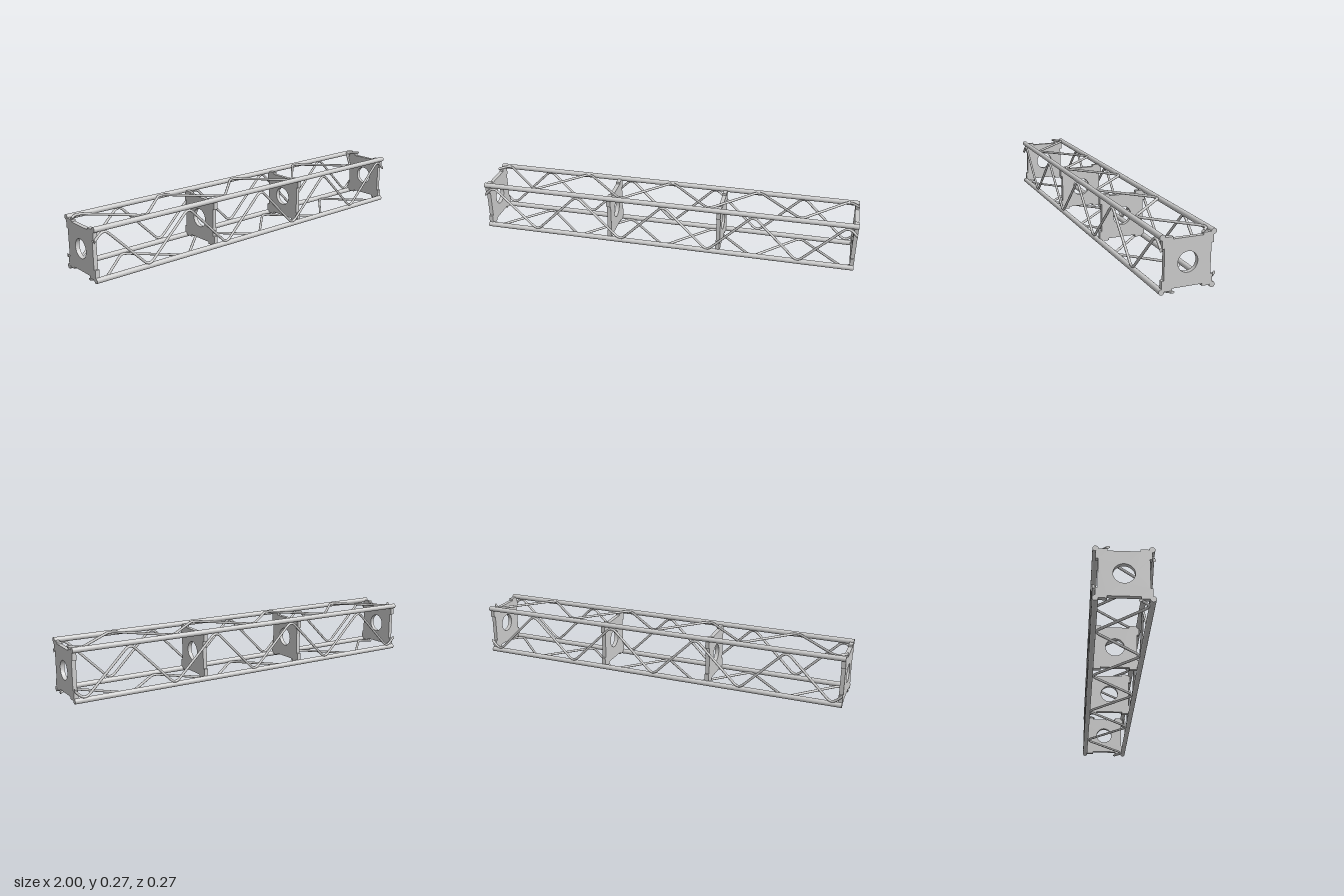
import * as THREE from 'three';

const HALF = 0.1225;      // chord centre offset from the truss axis
const CHORD_R = 0.0135;
const LACE_R = 0.0065;
const LACE_OFFSET = 0.1295;
const AXIS_Y = 0.136;

const metal = new THREE.MeshStandardMaterial({ color: 0xcccccc, metalness: 0.1, roughness: 0.6 });

function add(parent, name, geometry) {
  const mesh = new THREE.Mesh(geometry, metal);
  mesh.name = name;
  parent.add(mesh);
  return mesh;
}

// Zigzag centre line with rounded bends, in the x-y plane
function lacingPath() {
  const step = 0.2375, peak = 0.119, cut = 0.026, slope = 2 * peak / step;
  const at = (x, y) => new THREE.Vector3(x, y, 0);
  const path = new THREE.CurvePath();
  path.arcLengthDivisions = 1000;
  const endY = peak - 0.05 * slope;
  let last = at(-1, endY);
  for (let i = 0; i < 9; i++) {
    const x = -0.95 + i * step, s = i % 2 ? -1 : 1;
    const y = s * (peak - cut * slope);
    const a = at(x - cut, y), b = at(x + cut, y);
    path.add(new THREE.LineCurve3(last, a));
    path.add(new THREE.QuadraticBezierCurve3(a, at(x, s * peak), b));
    last = b;
  }
  path.add(new THREE.LineCurve3(last, at(1, endY)));
  return { path, slope, endY };
}

// Bent rod whose ends are sliced flush with the ends of the truss
function lacingGeometry({ path, slope }) {
  const segments = 240, sides = 10;
  const geo = new THREE.TubeGeometry(path, segments, LACE_R, sides);
  const pos = geo.attributes.position, ring = sides + 1;
  for (const [start, end] of [[0, -1], [segments * ring, 1]]) {
    for (let i = start; i < start + ring; i++) {
      const dx = end - pos.getX(i);
      pos.setX(i, end);
      pos.setY(i, pos.getY(i) - end * dx * slope);
    }
  }
  return geo;
}

// Square plate with a round hole and a slot cut into each edge
function plateGeometry(thickness) {
  const notch = 0.072, inner = 0.112;
  const shape = new THREE.Shape();
  const side = [[-HALF, -HALF], [-notch, -HALF], [-notch, -inner], [notch, -inner], [notch, -HALF]];
  const points = [];
  for (let k = 0; k < 4; k++) {
    for (const [u, v] of side) {
      points.push(new THREE.Vector2(u, v).rotateAround(new THREE.Vector2(), k * Math.PI / 2));
    }
  }
  shape.setFromPoints(points);
  shape.holes.push(new THREE.Path().absarc(0, 0, 0.048, 0, Math.PI * 2, true));
  const geo = new THREE.ExtrudeGeometry(shape, { depth: thickness, bevelEnabled: false, curveSegments: 32 });
  return geo.translate(0, 0, -thickness / 2).rotateY(Math.PI / 2);
}

export function createModel() {
  const truss = new THREE.Group();
  truss.name = 'boxTruss';
  const body = new THREE.Group();
  body.name = 'trussBody';
  body.position.y = AXIS_Y;
  truss.add(body);

  const lace = lacingPath();
  const laceGeo = lacingGeometry(lace);
  const chordGeo = new THREE.CylinderGeometry(CHORD_R, CHORD_R, 2, 24).rotateZ(Math.PI / 2);
  const capGeo = new THREE.CircleGeometry(LACE_R, 12).rotateY(Math.PI / 2);

  // Four identical sides turned about the long axis: one chord and one lacing each
  for (let k = 0; k < 4; k++) {
    const face = new THREE.Group();
    face.name = ['front', 'top', 'back', 'bottom'][k] + 'Side';
    face.rotation.x = -k * Math.PI / 2;
    body.add(face);
    add(face, 'chord', chordGeo).position.set(0, HALF, HALF);
    add(face, 'lacing', laceGeo).position.z = LACE_OFFSET;
    for (const s of [-1, 1]) {
      const cap = add(face, 'lacingEnd', capGeo);
      cap.position.set(s, lace.endY, LACE_OFFSET);
      cap.rotation.y = s > 0 ? 0 : Math.PI;
      cap.scale.y = Math.SQRT2;
    }
  }

  // End plates and inner diaphragms
  const plateGeo = plateGeometry(0.021);
  for (const x of [-0.9893, -0.3, 0.293, 0.9893]) {
    add(body, Math.abs(x) > 0.5 ? 'endPlate' : 'innerPlate', plateGeo).position.x = x;
  }
  return truss;
}
